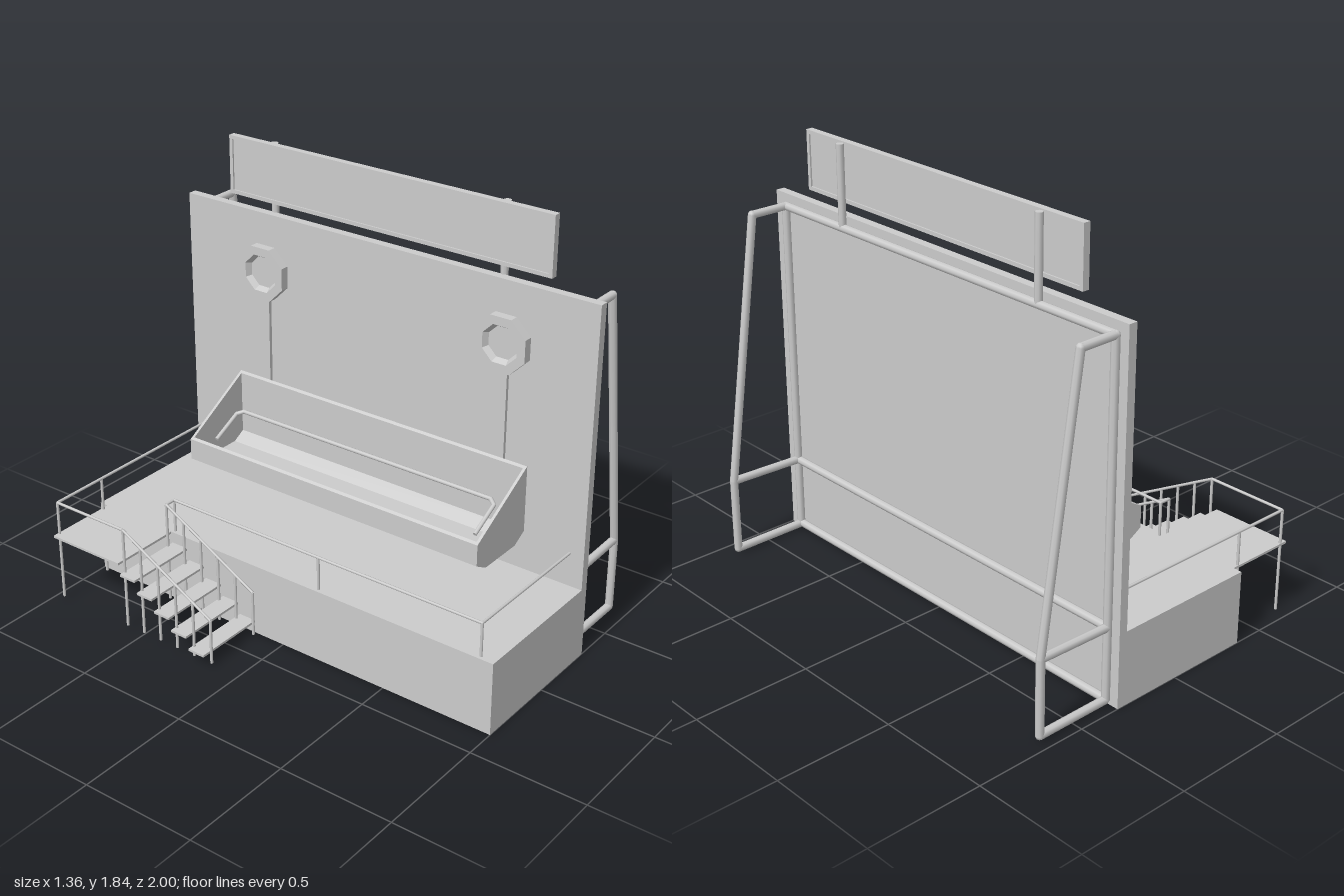
import * as THREE from 'three';

const grey = new THREE.MeshStandardMaterial({ color: 0xcccccc });
const faceted = new THREE.MeshStandardMaterial({ color: 0xcccccc, flatShading: true });

export function createModel() {
  const model = new THREE.Group();

  const add = (name, geometry, parent = model, material = grey) => {
    const mesh = new THREE.Mesh(geometry, material);
    mesh.name = name;
    parent.add(mesh);
    return mesh;
  };
  const group = (name) => {
    const g = new THREE.Group();
    g.name = name;
    model.add(g);
    return g;
  };
  // Box given by its lower and upper limits on each axis
  const box = (name, [x0, x1], [y0, y1], [z0, z1], parent) =>
    add(name, new THREE.BoxGeometry(x1 - x0, y1 - y0, z1 - z0), parent)
      .position.set((x0 + x1) / 2, (y0 + y1) / 2, (z0 + z1) / 2);
  // Straight bar between two points
  const bar = (name, a, b, radius, parent, sides = 8) => {
    const from = new THREE.Vector3(...a), to = new THREE.Vector3(...b);
    const dir = to.clone().sub(from);
    const mesh = add(name, new THREE.CylinderGeometry(radius, radius, dir.length(), sides), parent);
    mesh.position.copy(from).add(to).multiplyScalar(0.5);
    mesh.quaternion.setFromUnitVectors(new THREE.Vector3(0, 1, 0), dir.normalize());
  };
  // Chain of bars with ball joints at the bends
  const pipe = (name, points, radius, parent) => {
    for (let i = 1; i < points.length; i++) bar(name, points[i - 1], points[i], radius, parent);
    points.slice(1, -1).forEach((p) =>
      add(name + 'Joint', new THREE.SphereGeometry(radius, 8, 6), parent).position.set(...p));
  };

  // Platform and back wall
  box('platform', [-0.365, 0.28], [0, 0.32], [-1, 1]);
  box('backWall', [0.275, 0.313], [0, 1.54], [-1, 1]);

  // Tubular support frame behind the wall
  const frame = group('supportFrame');
  const t = 0.0175, fx = 0.323, zs = [-0.947, 0.925];
  for (const z of zs) {
    pipe('sideBrace', [
      [fx, 0.02, z], [fx, 1.49, z], [0.492, 1.49, z],
      [0.662, 0.345, z], [0.662, 0.022, z], [fx, 0.022, z],
    ], t, frame);
    bar('braceRung', [fx, 0.335, z], [0.662, 0.345, z], t, frame);
  }
  for (const y of [0.025, 0.335, 1.49])
    bar('crossTube', [fx, y, zs[0]], [fx, y, zs[1]], t, frame);

  // Sign: thin panel inside a raised border, on two posts
  const sign = group('sign');
  const sx = [0.277, 0.307], sy = [1.59, 1.84], sz = [-0.77, 0.785], e = 0.016;
  box('signPanel', [0.284, 0.3], sy.map((v, i) => v + (i ? -e : e)), sz.map((v, i) => v + (i ? -e : e)), sign);
  box('signBorder', sx, [sy[0], sy[0] + e], sz, sign);
  box('signBorder', sx, [sy[1] - e, sy[1]], sz, sign);
  box('signBorder', sx, [sy[0] + e, sy[1] - e], [sz[0], sz[0] + e], sign);
  box('signBorder', sx, [sy[0] + e, sy[1] - e], [sz[1] - e, sz[1]], sign);
  for (const z of [-0.567, 0.55]) bar('signPost', [fx, 1.49, z], [fx, 1.835, z], 0.016, sign);

  // Open trough with a sloping rim: thin shell plus two end plates
  const trough = group('trough');
  const outer = [[-0.085, 0.6], [-0.085, 0.507], [-0.02, 0.47], [0.19, 0.47], [0.255, 0.507], [0.255, 0.797]];
  const inner = [[0.243, 0.79], [0.243, 0.514], [0.187, 0.482], [-0.017, 0.482], [-0.073, 0.514], [-0.073, 0.607]];
  const extrude = (points, depth, z, name) =>
    add(name, new THREE.ExtrudeGeometry(new THREE.Shape(points.map((p) => new THREE.Vector2(...p))),
      { depth, bevelEnabled: false }), trough).position.z = z;
  extrude([...outer, ...inner], 1.455, -0.72, 'troughShell');
  for (const z of [-0.72, 0.723]) extrude(outer, 0.012, z, 'troughEnd');

  // Bent pipe lying parallel to the rim
  pipe('troughPipe', [
    [-0.02, 0.6, -0.63], [0.115, 0.668, -0.63], [0.134, 0.678, -0.605],
    [0.134, 0.678, 0.65], [0.115, 0.668, 0.677], [-0.02, 0.6, 0.68],
  ], 0.009, trough);

  // Eight-sided wall discs with a dished centre, each on a flat strip
  const discProfile = [[0.124, 0], [0.124, 0.04], [0.085, 0.04], [0.07, 0.015], [0, 0.015]]
    .map((p) => new THREE.Vector2(...p));
  for (const z of [-0.585, 0.595]) {
    const disc = new THREE.LatheGeometry(discProfile, 8);
    disc.rotateY(Math.PI / 8).rotateZ(Math.PI / 2);
    add('wallDisc', disc, model, faceted).position.set(0.276, 1.285, z);
    box('discStrip', [0.26, 0.276], [0.63, 1.19], [z - 0.025, z + 0.025]);
  }

  // Landing and stairs
  const stairs = group('stairs');
  box('landing', [-0.685, -0.365], [0.31, 0.32], [-0.96, -0.595], stairs);
  for (let i = 0; i < 5; i++) {
    const y = 0.26 - i * 0.053, z = -0.588 + i * 0.09;
    box('tread', [-0.685, -0.365], [y, y + 0.01], [z, z + 0.08], stairs);
  }

  // Railings: stair rails slope down, with posts at every step
  const rails = group('railings');
  const r = 0.006, top = 0.467, zb = -0.953, zt = -0.585, zf = -0.13;
  for (const x of [-0.657, -0.397]) {
    bar('stairRail', [x, top, zt], [x, 0.215, zf], r, rails);
    bar('landingPost', [x, 0.015, zb], [x, top, zb], r, rails);
    for (let i = 0; i < 6; i++) {
      const k = i / 5, z = zt + (zf - zt) * k;
      bar('stairPost', [x, 0.015, z], [x, top + (0.215 - top) * k, z], r, rails);
    }
  }
  bar('landingRail', [-0.657, top, zb], [-0.657, top, zt], r, rails);
  bar('rearRail', [-0.657, top, zb], [0.28, top, zb], r, rails);
  pipe('deckRail', [[-0.397, top, zt], [-0.348, top, zt], [-0.348, top, 0.935], [0.28, top, 0.935]], r, rails);
  for (const z of [zt, 0.17, 0.935]) bar('deckPost', [-0.348, 0.315, z], [-0.348, top, z], r, rails);

  return model;
}
